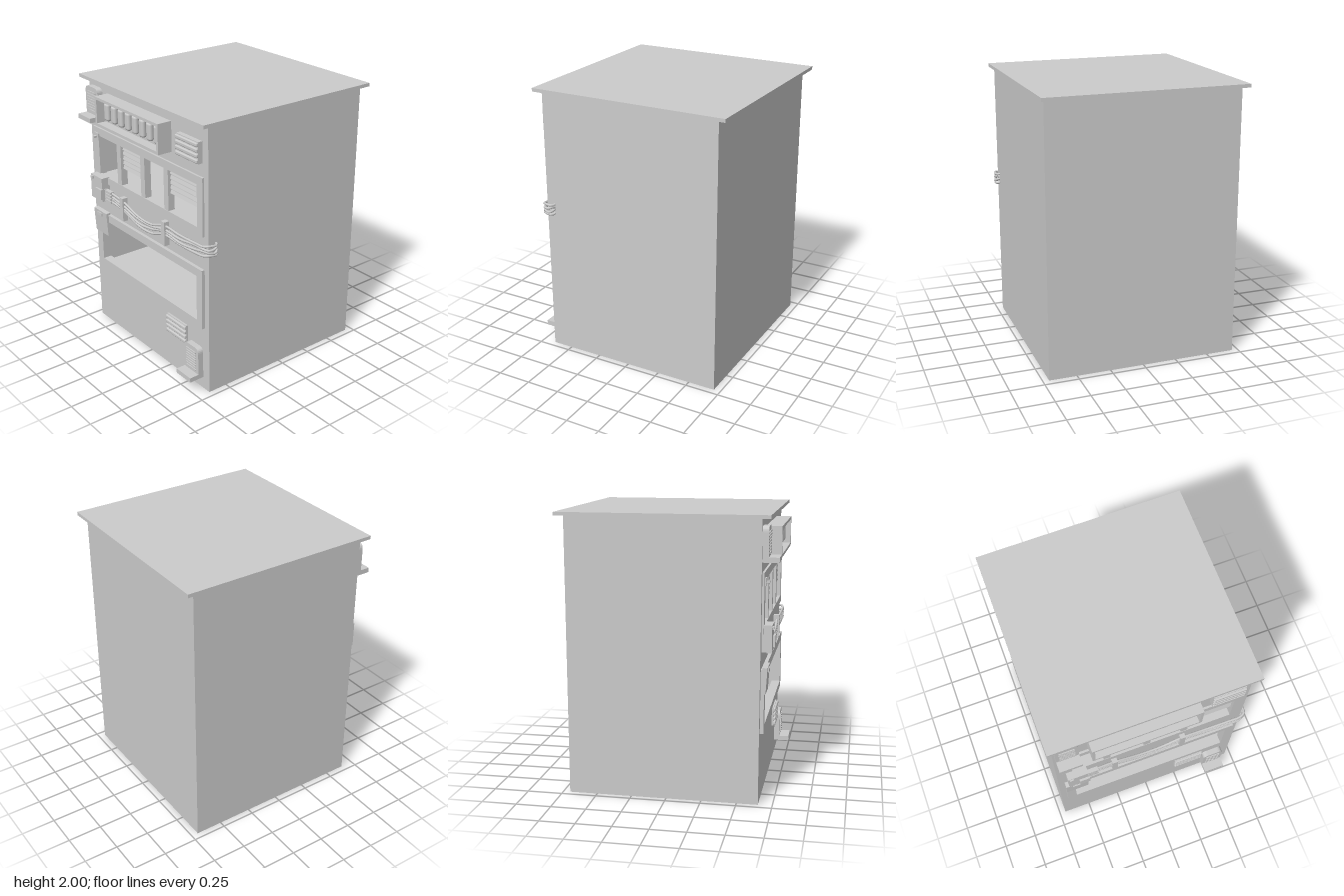
import * as THREE from 'three';
import { RoundedBoxGeometry } from 'three/addons/geometries/RoundedBoxGeometry.js';

const FACE = -0.65; // x of the detailed wall, parts stand out towards -x
const mat = new THREE.MeshStandardMaterial({ color: 0xcccccc });

function add(parent, name, geometry) {
  const mesh = new THREE.Mesh(geometry, mat);
  mesh.name = name;
  parent.add(mesh);
  return mesh;
}

// Box given by its limits in x, y and z
function box(parent, name, x0, x1, y0, y1, z0, z1) {
  const m = add(parent, name, new THREE.BoxGeometry(x1 - x0, y1 - y0, z1 - z0));
  m.position.set((x0 + x1) / 2, (y0 + y1) / 2, (z0 + z1) / 2);
  return m;
}

// Box on the detailed wall: p0 and p1 are distances out from the wall
const onFace = (parent, name, p0, p1, y0, y1, z0, z1) =>
  box(parent, name, FACE - p1, FACE - p0, y0, y1, z0, z1);

function rect(T, z0, z1, y0, y1) {
  const s = new T();
  s.moveTo(z0, y0);
  s.lineTo(z1, y0);
  s.lineTo(z1, y1);
  s.lineTo(z0, y1);
  s.closePath();
  return s;
}

// Outline in the (z, y) plane pushed out from the wall
function plate(parent, name, shape, p0, p1) {
  const m = add(parent, name, new THREE.ExtrudeGeometry(shape,
    { depth: p1 - p0, bevelEnabled: false, curveSegments: 6 }));
  m.rotation.y = -Math.PI / 2;
  m.position.x = FACE - p0;
  return m;
}

function group(parent, name) {
  const g = new THREE.Group();
  g.name = name;
  parent.add(g);
  return g;
}

// Upright louvred panel with round top corners and a shelf at its foot
function shelfVent(parent, y, z0, z1) {
  const g = group(parent, 'shelfVent');
  const h = y + 0.24, r = 0.04;
  const s = new THREE.Shape();
  s.moveTo(z0, y);
  s.lineTo(z1, y);
  s.lineTo(z1, h - r);
  s.quadraticCurveTo(z1, h, z1 - r, h);
  s.lineTo(z0 + r, h);
  s.quadraticCurveTo(z0, h, z0, h - r);
  s.closePath();
  plate(g, 'ventPanel', s, 0, 0.043);
  onFace(g, 'ventShelf', 0, 0.115, y, y + 0.035, z0, z1);
  for (let i = 0; i < 8; i++) {
    const yy = y + 0.055 + i * 0.02;
    onFace(g, 'ventSlat', 0.04, 0.05, yy, yy + 0.011, z0 + 0.025, z1 - 0.025);
  }
}

// Wide vent with a few thick louvres
function wideVent(parent, p, y0, y1, z0, z1) {
  const g = group(parent, 'wideVent');
  onFace(g, 'ventBack', 0, p - 0.015, y0, y1, z0, z1);
  const n = 4, step = (y1 - y0) / n;
  for (let i = 0; i < n; i++) {
    const m = add(g, 'ventLouvre', new RoundedBoxGeometry(0.03, step * 0.72, z1 - z0, 2, 0.008));
    m.position.set(FACE - p + 0.015, y0 + step * (i + 0.5), (z0 + z1) / 2);
  }
}

export function createModel() {
  const root = new THREE.Group();
  root.name = 'kiosk';

  // Hollow cabinet, with two openings in the detailed wall
  const body = group(root, 'cabinet');
  const wall = rect(THREE.Shape, -0.705, 0.705, 0, 1.98);
  const openings = [[-0.59, 0.6, 0.55, 0.89], [-0.59, 0.6, 1.25, 1.555]];
  openings.forEach(o => wall.holes.push(rect(THREE.Path, ...o)));
  plate(body, 'openWall', wall, -0.04, 0);
  box(body, 'plainWall', 0.66, 0.7, 0, 1.98, -0.705, 0.705);
  box(body, 'frontWall', -0.61, 0.66, 0, 1.98, 0.665, 0.705);
  box(body, 'backWall', -0.61, 0.66, 0, 1.98, -0.705, -0.665);
  [[0, 0.03], [0.44, 0.48], [1.18, 1.22], [1.94, 1.98]].forEach(([a, b]) =>
    box(body, 'innerFloor', -0.61, 0.66, a, b, -0.665, 0.665));
  box(root, 'roof', -0.71, 0.76, 1.975, 2, -0.74, 0.735);

  // Raised frames around the openings
  const outer = [[0.5, 0.95, 0.025], [1.195, 1.615, 0.015]];
  outer.forEach(([y0, y1, p], i) => {
    const s = rect(THREE.Shape, -0.66, 0.66, y0, y1);
    s.holes.push(rect(THREE.Path, ...openings[i]));
    plate(root, 'windowFrame', s, 0, p);
  });

  // Posts and half-lowered shutters in the upper opening
  for (const z of [-0.33, -0.03, 0.25]) {
    onFace(root, 'windowPost', -0.04, 0.012, 1.25, 1.555, z - 0.025, z + 0.025);
  }
  for (const [z0, z1] of [[-0.305, -0.055], [0.275, 0.6]]) {
    const g = group(root, 'shutter');
    onFace(g, 'shutterBack', -0.035, -0.02, 1.37, 1.555, z0, z1);
    for (let i = 0; i < 5; i++) {
      const m = onFace(g, 'shutterSlat', -0.025, -0.01, 1.375 + i * 0.036, 1.402 + i * 0.036, z0, z1);
      m.rotation.z = -0.3;
    }
  }
  onFace(root, 'hookPlate', 0.01, 0.025, 1.52, 1.575, -0.63, -0.58);
  onFace(root, 'hook', 0.02, 0.05, 1.54, 1.555, -0.615, -0.595);

  // Open display tray with a row of upright rounded bars
  const tray = group(root, 'displayTray');
  const rim = rect(THREE.Shape, -0.46, 0.31, 1.69, 1.905);
  rim.holes.push(rect(THREE.Path, -0.44, 0.29, 1.71, 1.885));
  plate(tray, 'trayRim', rim, 0, 0.11);
  onFace(tray, 'trayBack', 0, 0.04, 1.7, 1.895, -0.45, 0.3);
  for (let i = 0; i < 8; i++) {
    const m = add(tray, 'displayBar', new RoundedBoxGeometry(0.04, 0.13, 0.055, 3, 0.018));
    m.position.set(FACE - 0.055, 1.798, -0.38 + i * 0.087);
  }

  // Vents
  shelfVent(root, 1.685, -0.69, -0.53);
  shelfVent(root, 0.09, 0.475, 0.635);
  wideVent(root, 0.05, 1.71, 1.86, 0.41, 0.645);
  wideVent(root, 0.03, 0.285, 0.43, 0.23, 0.46);

  // Junction box with its connector
  const junction = group(root, 'junctionBox');
  onFace(junction, 'boxBody', 0, 0.07, 1.07, 1.255, -0.64, -0.49);
  onFace(junction, 'connector', 0.03, 0.085, 1.09, 1.17, -0.56, -0.485);
  onFace(junction, 'connectorLip', 0.07, 0.08, 1.225, 1.245, -0.63, -0.6);
  for (let i = 0; i < 4; i++) {
    const y = 1.085 + i * 0.024;
    onFace(junction, 'plug', 0.02, 0.05, y - 0.009, y + 0.009, -0.49, -0.41);
  }

  // Control box leaning on the corner of the lower frame
  const control = group(root, 'controlBox');
  const lid = onFace(control, 'controlLid', 0.005, 0.04, 0.78, 0.965, -0.66, -0.49);
  lid.rotation.z = 0.06;
  onFace(control, 'latch', 0.035, 0.052, 0.925, 0.95, -0.61, -0.55);

  // Four cables sagging along the wall and round the front corner
  const cables = group(root, 'cables');
  const path = [[0.03, 1.085, -0.42], [0.025, 1.06, -0.28], [0.025, 1.015, -0.08],
    [0.025, 1.02, 0.08], [0.025, 1.06, 0.24], [0.025, 1.05, 0.42], [0.03, 1.07, 0.6],
    [0.03, 1.08, 0.69], [0.012, 1.08, 0.725], [-0.03, 1.075, 0.73], [-0.055, 1.085, 0.725],
    [-0.06, 1.085, 0.7]];
  for (let i = 0; i < 4; i++) {
    const pts = path.map(([p, y, z], k) => new THREE.Vector3(
      FACE - p, y + i * 0.023 + 0.006 * Math.sin(k * 1.7 + i * 2), z));
    add(cables, 'cable', new THREE.TubeGeometry(new THREE.CatmullRomCurve3(pts), 60, 0.009, 8));
  }
  for (const z of [-0.28, 0.24]) {
    onFace(cables, 'cableClamp', 0, 0.042, 0.985, 1.165, z - 0.02, z + 0.02);
  }
  return root;
}
